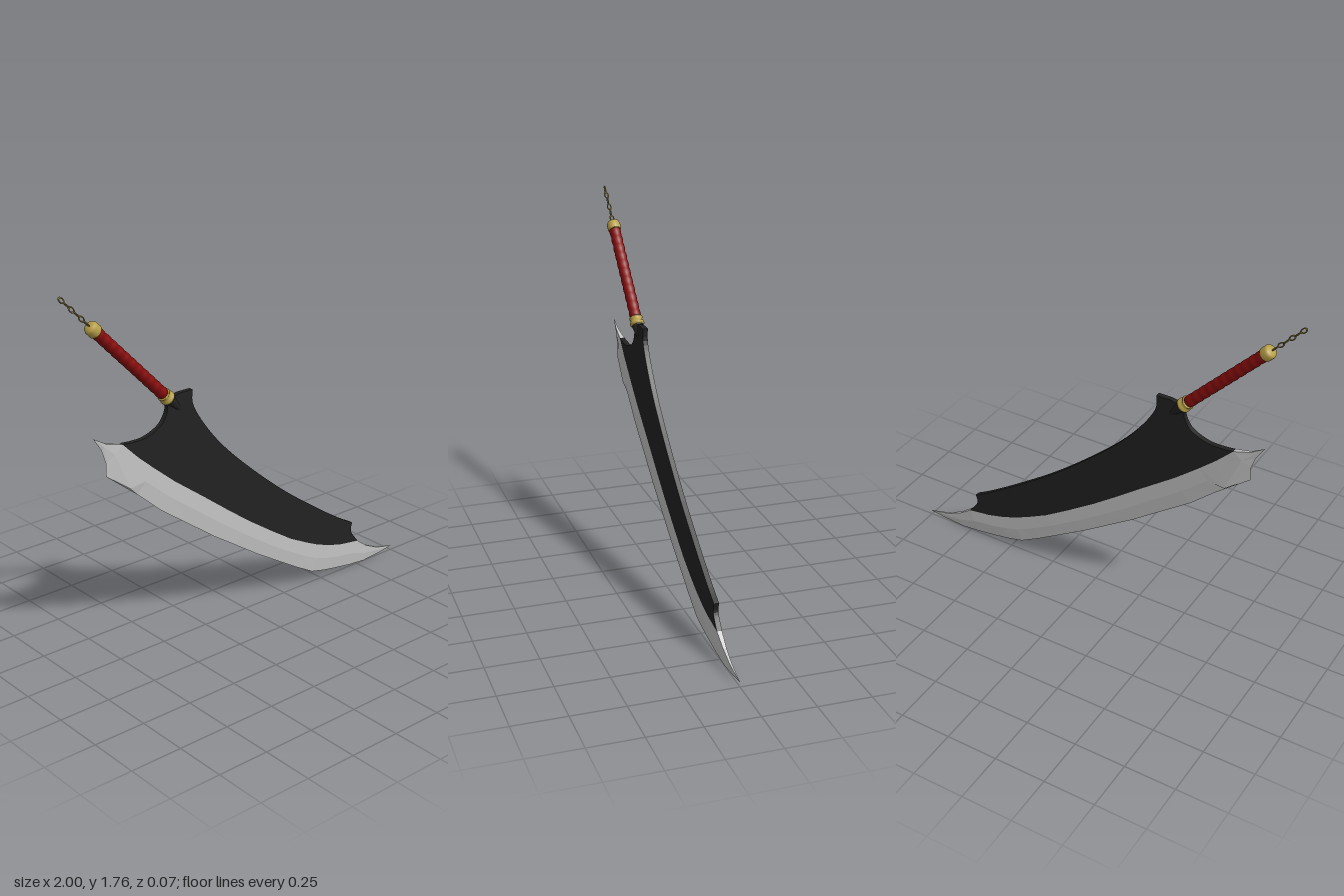
import * as THREE from 'three';

const HALF = 0.012; // half thickness of the blade

// Blade stations from rear point to front tip: spine-side x, y, edge x, y, half thickness
const STATIONS = [
  [-0.854, 1.106, -0.854, 1.105, 0.001],
  [-0.79, 1.068, -0.815, 1.045, 0.006],
  [-0.71, 1.047, -0.792, 0.975, HALF],
  [-0.63, 0.967, -0.795, 0.917, HALF],
  [-0.55, 0.897, -0.63, 0.785, HALF],
  [-0.43, 0.797, -0.5, 0.67, HALF],
  [-0.256, 0.668, -0.33, 0.547, HALF],
  [-0.12, 0.565, -0.203, 0.454, HALF],
  [0.01, 0.47, -0.06, 0.36, HALF],
  [0.15, 0.376, 0.064, 0.278, HALF],
  [0.278, 0.294, 0.21, 0.19, HALF],
  [0.38, 0.242, 0.33, 0.118, HALF],
  [0.465, 0.203, 0.438, 0.059, HALF],
  [0.55, 0.174, 0.52, 0.04, HALF],
  [0.625, 0.155, 0.598, 0.027, HALF],
  [0.742, 0.139, 0.7, 0.013, HALF],
  [0.81, 0.09, 0.8, 0.004, 0.008],
  [0.89, 0.053, 0.92, 0.014, 0.005],
  [1.0, 0.027, 1.0, 0.026, 0.001],
];
const BORDER_START = 2, BORDER_END = 15; // stations that touch the dark body

function edgeGeometry() {
  const rings = STATIONS.map(([tx, ty, ex, ey, h], i) => {
    // the ridge runs midway, dipping to a nick near the rear corner
    const [rx, ry] = i === 3 ? [-0.675, 0.83] : [(tx + ex) / 2, (ty + ey) / 2];
    const r = h * 0.85;
    return [[tx, ty, h], [rx, ry, r], [ex, ey, 0], [rx, ry, -r], [tx, ty, -h]];
  });
  const pos = [];
  for (let i = 0; i < rings.length - 1; i++) {
    for (let j = 0; j < 5; j++) {
      const k = (j + 1) % 5;
      const a = rings[i][j], b = rings[i][k], c = rings[i + 1][k], d = rings[i + 1][j];
      pos.push(...a, ...b, ...c, ...a, ...c, ...d);
    }
  }
  const g = new THREE.BufferGeometry();
  g.setAttribute('position', new THREE.Float32BufferAttribute(pos, 3));
  g.computeVertexNormals();
  return g;
}

function bodyGeometry() {
  const v = (list) => list.map(([x, y]) => new THREE.Vector2(x, y));
  const s = new THREE.Shape();
  s.moveTo(-0.43, 1.2);
  s.lineTo(-0.39, 1.208);
  s.lineTo(-0.32, 1.208);
  // curved back of the blade
  s.splineThru(v([[-0.318, 1.137], [-0.256, 1.03], [-0.15, 0.9], [0.01, 0.748],
    [0.224, 0.57], [0.438, 0.417], [0.61, 0.304], [0.7, 0.253]]));
  // hollow near the tip, then along the steel border
  s.splineThru(v([[0.694, 0.205], [0.742, 0.139]]));
  for (let i = BORDER_END - 1; i >= BORDER_START; i--) s.lineTo(STATIONS[i][0], STATIONS[i][1]);
  // hollow under the grip
  s.splineThru(v([[-0.65, 1.042], [-0.577, 1.047], [-0.497, 1.084], [-0.461, 1.148], [-0.475, 1.19]]));
  s.closePath();
  const g = new THREE.ExtrudeGeometry(s, { depth: HALF * 2, bevelEnabled: false, curveSegments: 4 });
  return g.translate(0, 0, -HALF);
}

const lathe = (points, sides) =>
  new THREE.LatheGeometry(points.map(([r, y]) => new THREE.Vector2(r, y)), sides);

export function createModel() {
  const mat = (name, color) => Object.assign(new THREE.MeshStandardMaterial({ color }), { name });
  const steel = mat('steel', 0xc6c6c6);
  const black = mat('black iron', 0x222222);
  const red = mat('red wrap', 0x860c0c);
  const gold = mat('gold', 0xb8a048);
  const chainGold = mat('dark gold', 0x8c7c44);

  const model = new THREE.Group();
  const add = (parent, name, geometry, material) => {
    const m = new THREE.Mesh(geometry, material);
    m.name = name;
    parent.add(m);
    return m;
  };

  add(model, 'bladeBody', bodyGeometry(), black);
  add(model, 'cuttingEdge', edgeGeometry(), steel);

  // Hilt, built along its own y axis from the guard upward
  const hilt = new THREE.Group();
  hilt.name = 'hilt';
  hilt.position.set(-0.459, 1.203, 0);
  hilt.rotation.z = 0.772;
  model.add(hilt);

  // Neck thickening the blade where it meets the guard
  const neck = add(hilt, 'neck', new THREE.CylinderGeometry(1, 0.4, 0.09, 16), black);
  neck.scale.set(0.03, 1, 0.03);
  neck.position.y = -0.058;

  // Flared guard collar
  add(hilt, 'guard', lathe([[0, -0.022], [0.028, -0.022], [0.035, -0.014], [0.035, -0.004],
    [0.029, 0.002], [0.029, 0.014], [0.033, 0.018], [0.031, 0.024], [0, 0.024]], 16), gold);

  // Grip with wrapped ridges
  const ridges = 11, start = 0.02, length = 0.505;
  const wrap = [[0, start]];
  for (let i = 0; i <= ridges * 4; i++) {
    wrap.push([0.0255 + 0.003 * Math.abs(Math.sin((i * Math.PI) / 4)), start + (length * i) / (ridges * 4)]);
  }
  wrap.push([0, start + length]);
  add(hilt, 'grip', lathe(wrap, 16), red);

  // Pommel cap
  add(hilt, 'pommel', lathe([[0, 0.516], [0.03, 0.516], [0.033, 0.521], [0.033, 0.55],
    [0.027, 0.562], [0.012, 0.566], [0, 0.566]], 16), gold);

  // Chain of alternating links
  const chain = new THREE.Group();
  chain.name = 'chain';
  hilt.add(chain);
  const linkGeometry = new THREE.TorusGeometry(0.009, 0.003, 6, 14).scale(1, 1.8, 1);
  for (let i = 0; i < 6; i++) {
    const link = add(chain, 'chainLink', linkGeometry, chainGold);
    link.position.y = 0.583 + i * 0.034;
    link.rotation.y = i % 2 ? 0 : Math.PI / 2;
  }
  return model;
}
